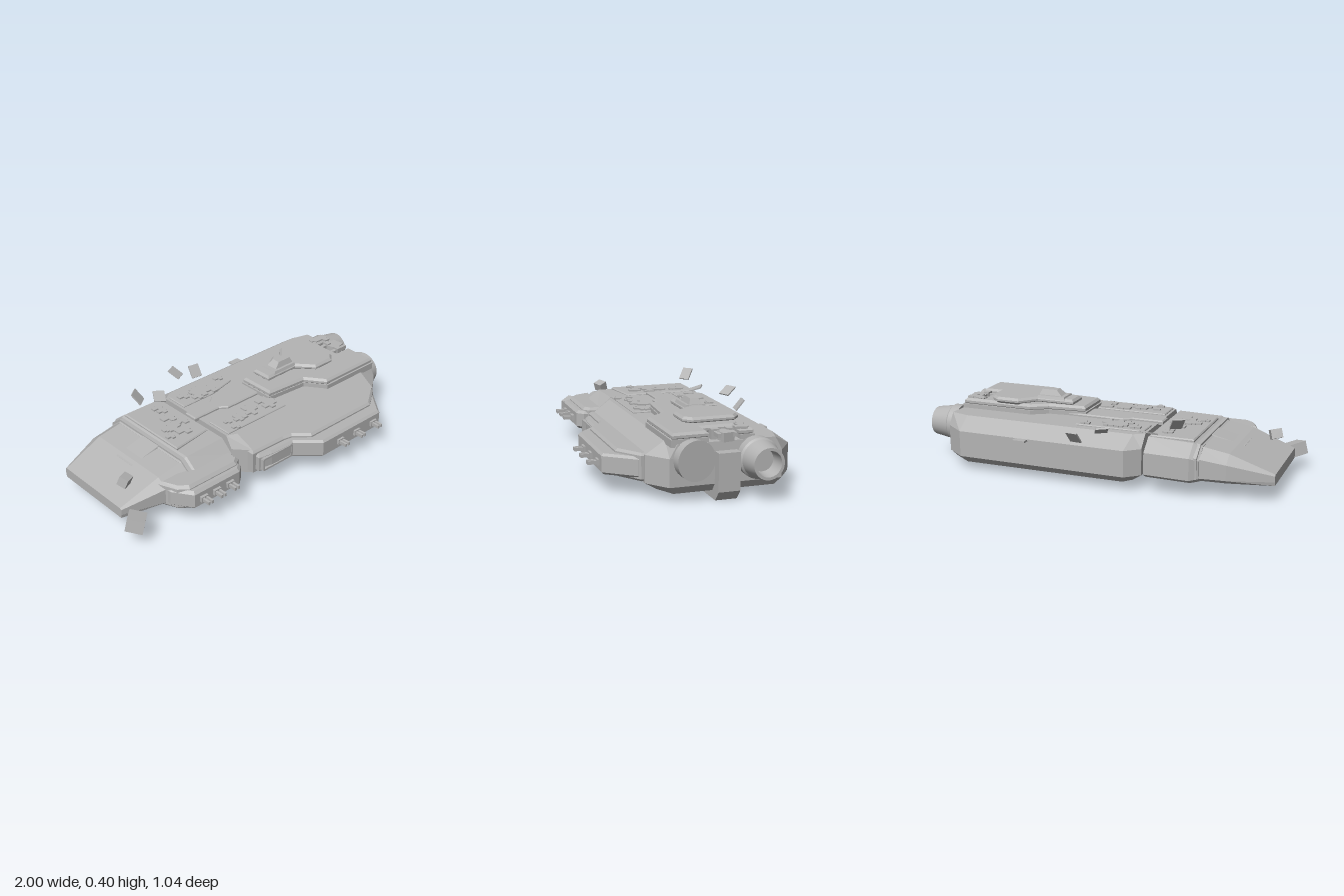
import * as THREE from 'three';

const hullGrey = new THREE.MeshStandardMaterial({ color: 0xb4b4b4, side: THREE.DoubleSide });
hullGrey.name = 'hull grey';

export function createModel() {
  const root = new THREE.Group();
  const add = (name, geo, pos = [0, 0, 0], rot = [0, 0, 0]) => {
    const m = new THREE.Mesh(geo, hullGrey);
    m.name = name;
    m.position.set(...pos);
    m.rotation.set(...rot);
    root.add(m);
    return m;
  };
  const box = (name, size, pos, rot) => add(name, new THREE.BoxGeometry(...size), pos, rot);

  // Flat-faced skin through rings of equal length, with optional end caps
  function loft(rings, capStart = true, capEnd = true) {
    const tris = [];
    const n = rings[0].length;
    for (let r = 0; r < rings.length - 1; r++) {
      for (let i = 0; i < n; i++) {
        const j = (i + 1) % n, a = rings[r], b = rings[r + 1];
        tris.push([a[i], a[j], b[j]], [a[i], b[j], b[i]]);
      }
    }
    const last = rings[rings.length - 1];
    for (let i = 1; i < n - 1; i++) {
      if (capStart) tris.push([rings[0][0], rings[0][i + 1], rings[0][i]]);
      if (capEnd) tris.push([last[0], last[i], last[i + 1]]);
    }
    // Turn the skin outward when the rings wind the other way
    const c = rings.flat().reduce((s, p) => s.map((v, k) => v + p[k] / (n * rings.length)), [0, 0, 0]);
    const V = (p) => new THREE.Vector3(p[0] - c[0], p[1] - c[1], p[2] - c[2]);
    const volume = tris.reduce((s, [p, q, t]) => s + V(p).dot(V(q).cross(V(t))), 0);
    if (volume < 0) tris.forEach((t) => t.reverse());
    const g = new THREE.BufferGeometry();
    g.setAttribute('position', new THREE.Float32BufferAttribute(tris.flat(2), 3));
    g.computeVertexNormals();
    return g;
  }
  const plan = (y, pts) => pts.map(([x, z]) => [x, y, z]);
  const toShape = (pts) => new THREE.Shape(pts.map((p) => new THREE.Vector2(...p)));

  // Horizontal slab with an x/z outline and chamfered rims
  function slab(name, pts, y0, y1, bevel = 0) {
    const g = new THREE.ExtrudeGeometry(toShape(pts), {
      depth: y1 - y0 - 2 * bevel, bevelEnabled: bevel > 0, bevelSegments: 1,
      bevelSize: bevel, bevelThickness: bevel, bevelOffset: -bevel,
    });
    g.rotateX(Math.PI / 2).translate(0, y1 - bevel, 0);
    return add(name, g);
  }
  const rect = (x0, x1, z0, z1) => [[x0, z0], [x1, z0], [x1, z1], [x0, z1]];

  // Rear hull, open underneath around the bay
  const wide = [[-0.275, -0.40], [-0.20, -0.465], [0.74, -0.46], [0.85, -0.375], [0.85, 0.2], [0.74, 0.285], [-0.2, 0.285], [-0.275, 0.2]];
  const roof = [[-0.275, -0.34], [-0.22, -0.375], [0.74, -0.37], [0.845, -0.34], [0.845, 0.16], [0.74, 0.185], [-0.22, 0.185], [-0.275, 0.16]];
  const keel = [[-0.22, -0.37], [-0.18, -0.42], [0.72, -0.42], [0.82, -0.35], [0.82, 0.17], [0.72, 0.22], [-0.18, 0.22], [-0.22, 0.17]];
  add('rearHull', loft([plan(0.04, keel), plan(0.08, wide), plan(0.22, wide), plan(0.285, roof)], false, true));
  const bay = rect(-0.1, 0.18, -0.19, 0.1);
  const belly = toShape(keel);
  belly.holes.push(new THREE.Path(bay.map((p) => new THREE.Vector2(...p))));
  add('bellyPlate', new THREE.ShapeGeometry(belly).rotateX(Math.PI / 2), [0, 0.04, 0]);
  add('bellyBay', loft([plan(0.04, bay), plan(0.15, bay)], false, true));

  // Bow, as cross-sections from the nose back
  const section = (x, z0, z1, yb, ys, yt, inset) => [
    [x, yb, z0 + inset * 0.4], [x, yb + 0.02, z0], [x, ys, z0], [x, yt, z0 + inset],
    [x, yt, z1 - inset], [x, ys, z1], [x, yb + 0.02, z1], [x, yb, z1 - inset * 0.4]];
  add('bow', loft([
    section(-0.95, -0.34, 0.14, 0.09, 0.14, 0.147, 0.01),
    section(-0.72, -0.41, 0.21, 0.09, 0.19, 0.232, 0.06),
    section(-0.56, -0.42, 0.22, 0.088, 0.21, 0.258, 0.07)]));
  add('bowRearBlock', loft([
    section(-0.585, -0.425, 0.215, 0.088, 0.2, 0.255, 0.07),
    section(-0.54, -0.45, 0.23, 0.08, 0.215, 0.275, 0.075),
    section(-0.30, -0.44, 0.23, 0.08, 0.215, 0.28, 0.075)]));
  add('bowRib', loft([
    section(-0.575, -0.435, 0.225, 0.085, 0.215, 0.27, 0.075),
    section(-0.553, -0.435, 0.225, 0.085, 0.215, 0.27, 0.075)]));
  add('bowHousing', loft([
    [[-0.76, 0.2, -0.17], [-0.76, 0.2, -0.02], [-0.75, 0.222, -0.03], [-0.75, 0.222, -0.16]],
    [[-0.545, 0.2, -0.18], [-0.545, 0.2, -0.01], [-0.56, 0.268, -0.03], [-0.56, 0.268, -0.16]]]));
  box('neck', [0.16, 0.15, 0.4], [-0.28, 0.18, -0.1]);

  // Raised decks on the hull tops
  slab('bowDeck', [[-0.54, -0.36], [-0.31, -0.36], [-0.31, 0.05], [-0.54, 0.08]], 0.265, 0.288, 0.006);
  slab('spine', [[-0.3, -0.14], [-0.13, -0.14], [-0.09, -0.17], [0.25, -0.17], [0.25, -0.03], [-0.09, -0.03], [-0.13, -0.06], [-0.3, -0.06]], 0.27, 0.299, 0.006);
  slab('foredeck', [[-0.26, -0.33], [0.12, -0.33], [0.12, -0.24], [-0.05, -0.2], [-0.26, -0.2]], 0.275, 0.293, 0.004);
  slab('sideDeck', rect(-0.26, 0.16, 0.01, 0.16), 0.275, 0.293, 0.004);

  // Superstructure with a notch at the stern
  const decks = [[0.13, -0.16], [0.34, -0.18], [0.43, -0.235], [0.84, -0.235], [0.84, -0.16], [0.74, -0.16],
    [0.74, 0], [0.84, 0], [0.84, 0.19], [0.46, 0.19], [0.38, 0.08], [0.13, 0.06]];
  slab('superstructureFoot', decks, 0.27, 0.308);
  slab('superstructure', decks.map(([x, z]) => [0.008 + x * 0.985, z * 0.97]), 0.3, 0.337, 0.012);
  slab('upperDeck', [[0.21, -0.15], [0.42, -0.15], [0.5, -0.235], [0.63, -0.235], [0.67, -0.2], [0.67, 0.02],
    [0.63, 0.06], [0.5, 0.06], [0.42, -0.03], [0.21, -0.03]], 0.33, 0.364, 0.012);
  add('towerFoot', loft([plan(0.345, rect(0.26, 0.43, -0.15, -0.03)), plan(0.372, rect(0.27, 0.425, -0.14, -0.04))]));
  add('tower', loft([plan(0.36, rect(0.28, 0.43, -0.127, -0.05)), plan(0.402, rect(0.325, 0.41, -0.11, -0.065))]));

  // Side pods with backing plates, panel frames and guns
  const rearPod = [[-0.2, 0.25], [-0.2, 0.33], [-0.12, 0.345], [0.03, 0.35], [0.15, 0.46], [0.6, 0.46], [0.72, 0.31], [0.72, 0.25]];
  const bowPod = [[-0.72, 0.2], [-0.72, 0.24], [-0.65, 0.345], [-0.35, 0.345], [-0.31, 0.31], [-0.31, 0.2]];
  slab('rearPod', rearPod, 0.1, 0.205, 0.012);
  slab('bowPod', bowPod, 0.1, 0.205, 0.015);
  slab('rearPodBacking', [[-0.22, 0.2], [-0.22, 0.305], [0.0, 0.31], [0.05, 0.32], [0.13, 0.39], [0.6, 0.39], [0.73, 0.3], [0.73, 0.2]], 0.085, 0.225, 0.012);
  slab('bowPodBacking', [[-0.74, 0.17], [-0.7, 0.27], [-0.65, 0.31], [-0.34, 0.31], [-0.3, 0.28], [-0.3, 0.17]], 0.085, 0.225, 0.015);
  function frame(name, x0, x1, y0, y1, z) {
    const t = 0.01, w = x1 - x0, h = y1 - y0, cx = (x0 + x1) / 2, cy = (y0 + y1) / 2;
    for (const y of [y0, y1]) box(name, [w, t, 0.02], [cx, y, z]);
    for (const x of [x0, x1]) box(name, [t, h, 0.02], [x, cy, z]);
  }
  frame('hangarFrame', -0.185, 0.02, 0.12, 0.185, 0.343);
  const gun = (x, z) => {
    box('gunMount', [0.045, 0.03, 0.02], [x, 0.152, z]);
    for (const s of [-1, 1]) box('gunBarrel', [0.012, 0.018, 0.05], [x + s * 0.011, 0.152, z + 0.03]);
  };
  [-0.595, -0.51, -0.42].forEach((x) => gun(x, 0.35));
  [0.28, 0.41, 0.545].forEach((x) => gun(x, 0.462));

  // Nozzle engine
  const nozzle = [[0.0, 0], [0.102, 0], [0.102, 0.05], [0.094, 0.06], [0.078, 0.16], [0.064, 0.16], [0.056, 0.08], [0, 0.08]];
  for (let i = 0; i < nozzle.length - 1; i++) {
    const pts = [nozzle[i], nozzle[i + 1]].map((p) => new THREE.Vector2(...p));
    add('nozzleEngine', new THREE.LatheGeometry(pts, 32), [0.84, 0.197, -0.24], [0, 0, -Math.PI / 2]);
  }
  // Damaged engine stub, knocked out of line
  add('engineStub', new THREE.CylinderGeometry(0.1, 0.094, 0.1, 28), [0.84, 0.21, 0.085], [0, 0.14, -Math.PI / 2]);
  // Central stern fin and wreckage
  const fin = toShape([[0.57, 0.05], [0.61, 0], [0.86, 0], [0.9, 0.05], [0.9, 0.24], [0.78, 0.24], [0.78, 0.05]]);
  add('sternFin', new THREE.ExtrudeGeometry(fin, { depth: 0.111, bevelEnabled: false }), [0, 0, -0.138]);
  for (const z of [-0.125, -0.045]) {
    box('sternStrut', [0.12, 0.02, 0.02], [0.8, 0.315, z]);
    box('sternClamp', [0.03, 0.05, 0.04], [0.79, 0.31, z]);
  }
  box('sternCore', [0.08, 0.045, 0.06], [0.82, 0.305, -0.085], [0, 0.2, 0]);

  // Broken plating scattered on the decks
  let seed = 7;
  const rnd = () => (seed = (seed * 16807) % 2147483647) / 2147483647;
  const scatter = (n, x0, x1, z0, z1, y) => {
    for (let i = 0; i < n; i++) {
      const x = x0 + rnd() * (x1 - x0), z = z0 + rnd() * (z1 - z0), s = 0.02 + rnd() * 0.03;
      box('deckPlate', [s * 1.6, 0.012, s * 0.8], [x, y, z]);
      box('deckPlate', [s * 0.7, 0.012, s * 1.5], [x + s * 0.3, y, z + s * 0.2]);
    }
  };
  scatter(10, -0.5, -0.35, -0.33, 0, 0.29);
  scatter(12, -0.22, 0.1, -0.31, -0.22, 0.295);
  scatter(10, -0.22, 0.13, 0.03, 0.14, 0.295);
  scatter(4, 0.74, 0.8, -0.21, -0.18, 0.337);

  // Drifting debris
  box('debrisBlock', [0.1, 0.07, 0.09], [-0.93, 0.11, 0.23], [0.3, 0.75, -0.35]);
  box('debrisChunk', [0.06, 0.05, 0.05], [-0.86, 0.235, 0.06], [0.4, 0.4, -0.3]);
  const shards = [[-0.45, 0.36, -0.36, 1.0, 0.4, -0.5], [-0.3, 0.3, -0.365, 0.4, -0.5, 0.1],
    [-0.09, 0.32, -0.48, 0.6, 0.4, -0.3], [0.06, 0.27, -0.487, 0.9, -0.1, 0.1]];
  for (const [x, y, z, a, b, c] of shards) box('debrisPlate', [0.065, 0.008, 0.075], [x, y, z], [a, b, c]);
  slab('loosePlate', rect(0.335, 0.405, -0.5, -0.44), 0.21, 0.22);
  return root;
}
